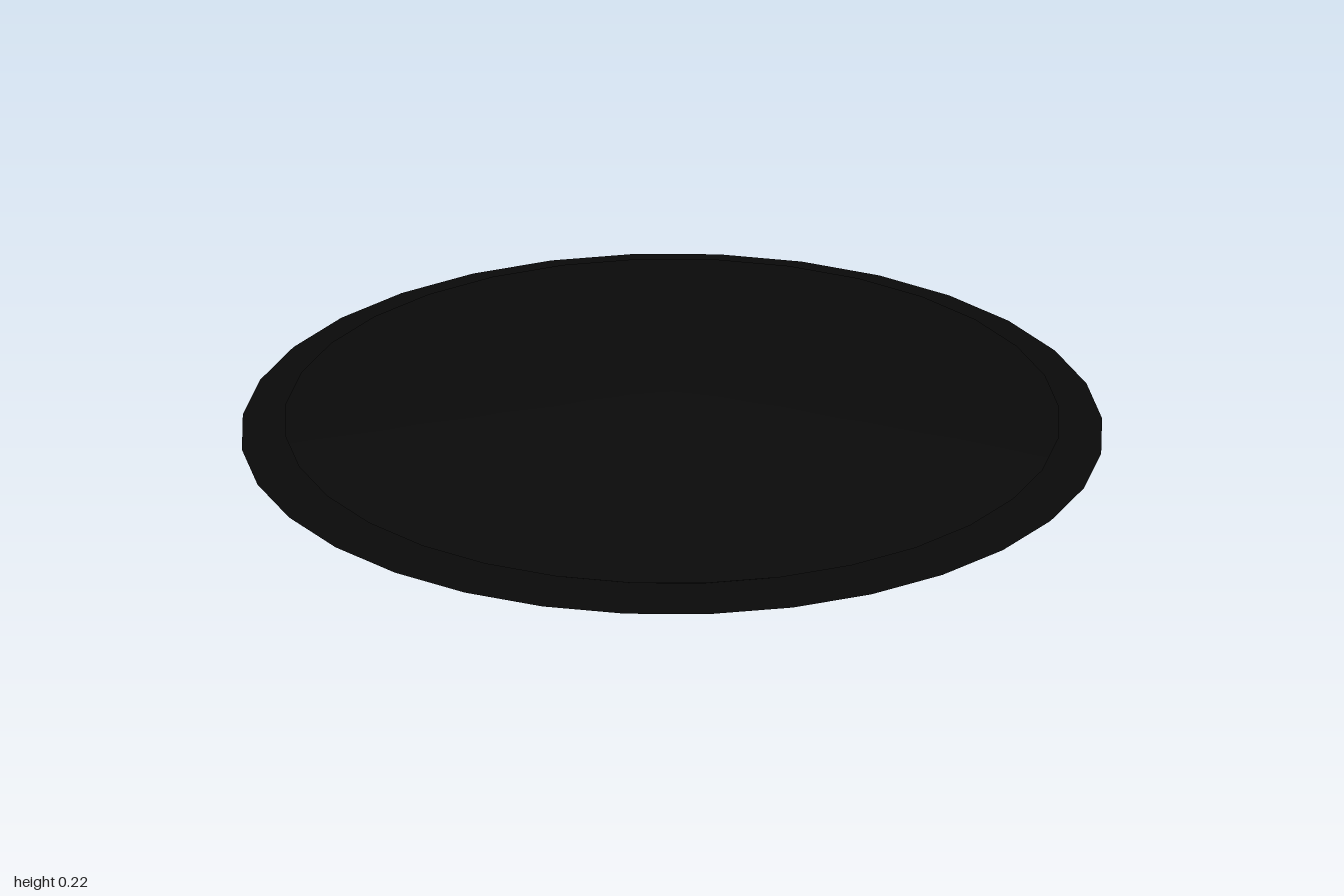
import * as THREE from 'three';

const SIDES = 32, MID = 0.1125;
const material = new THREE.MeshStandardMaterial({ color: 0x0a0a0a, side: THREE.DoubleSide });

// Half profiles: [radius, height above the middle plane]
const domeProfile = [[0.9, 0.033], [0.83, 0.042], [0.6, 0.066], [0.4, 0.084], [0.2, 0.101], [0.1, 0.109], [0.04, 0.1122], [0, 0.1125]];
const lipProfile = [[0.83, 0.018], [0.9, 0.033]];
const coreProfile = [[0.83, -0.018], [0.83, 0.018]];

function lathe(name, profile) {
  const points = profile.map(([r, y]) => new THREE.Vector2(r, y));
  const mesh = new THREE.Mesh(new THREE.LatheGeometry(points, SIDES), material);
  mesh.name = name;
  return mesh;
}

export function createModel() {
  const group = new THREE.Group();
  group.name = 'disc';

  // Shallow domes with an undercut lip, mirrored above and below
  for (const [side, turn] of [['upper', 0], ['lower', Math.PI]]) {
    const shell = new THREE.Group();
    shell.name = side + 'Shell';
    shell.add(lathe(side + 'Dome', domeProfile), lathe(side + 'Lip', lipProfile));
    shell.rotation.x = turn;
    shell.position.y = MID;
    group.add(shell);
  }

  // Recessed wall between the domes
  const core = lathe('core', coreProfile);
  core.position.y = MID;
  group.add(core);

  // Paper-thin outer rim
  const rim = new THREE.Mesh(new THREE.RingGeometry(0.83, 1, SIDES), material);
  rim.name = 'rim';
  rim.rotation.x = -Math.PI / 2;
  rim.position.y = MID;
  group.add(rim);

  return group;
}
